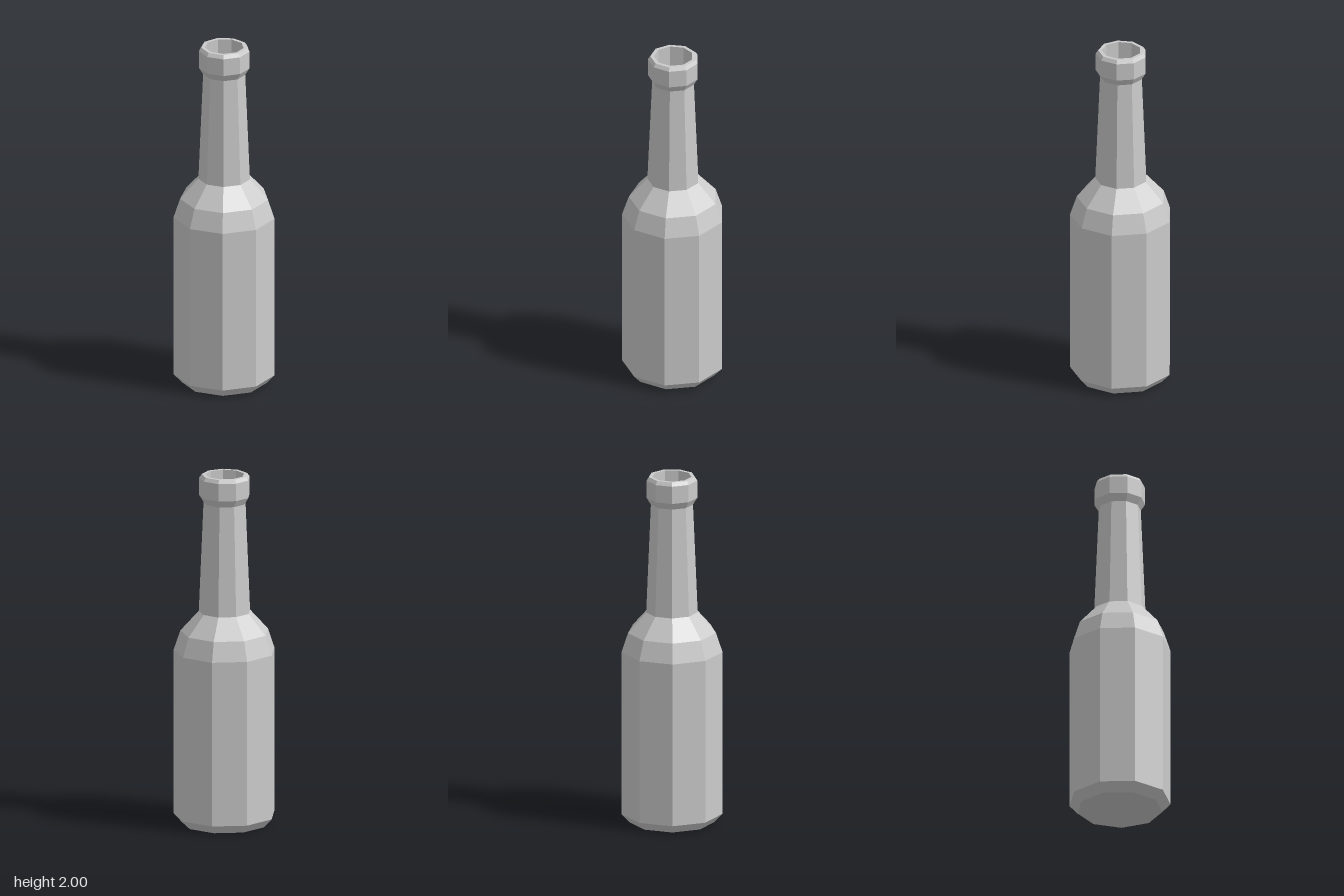
import * as THREE from 'three';

const SIDES = 9;
const material = new THREE.MeshStandardMaterial({ color: 0xcccccc, flatShading: true });

// Nine-sided turned part from [radius, height] pairs, with a corner at the back
function turned(name, profile) {
  const points = profile.map(([r, y]) => new THREE.Vector2(r, y));
  const mesh = new THREE.Mesh(new THREE.LatheGeometry(points, SIDES, Math.PI), material);
  mesh.name = name;
  return mesh;
}

export function createModel() {
  const bottle = new THREE.Group();
  bottle.name = 'bottle';

  bottle.add(
    // Flat base, chamfer, straight wall and two-step shoulder
    turned('body', [[0, 0], [0.24, 0], [0.2855, 0.05], [0.2855, 0.99], [0.2485, 1.1], [0.1455, 1.215]]),
    // Tapering neck
    turned('neck', [[0.1455, 1.215], [0.119, 1.84]]),
    // Collar with bevelled edges and a flat rim
    turned('lip', [[0.119, 1.84], [0.143, 1.88], [0.143, 1.98], [0.1295, 2], [0.1095, 2]]),
    // Opening, going down to a flat floor
    turned('mouth', [[0.1095, 2], [0.1095, 1.8], [0, 1.8]])
  );

  // An odd number of sides is lopsided in depth, so centre its extents
  bottle.children.forEach((part) => { part.position.z = 0.0085; });
  return bottle;
}
